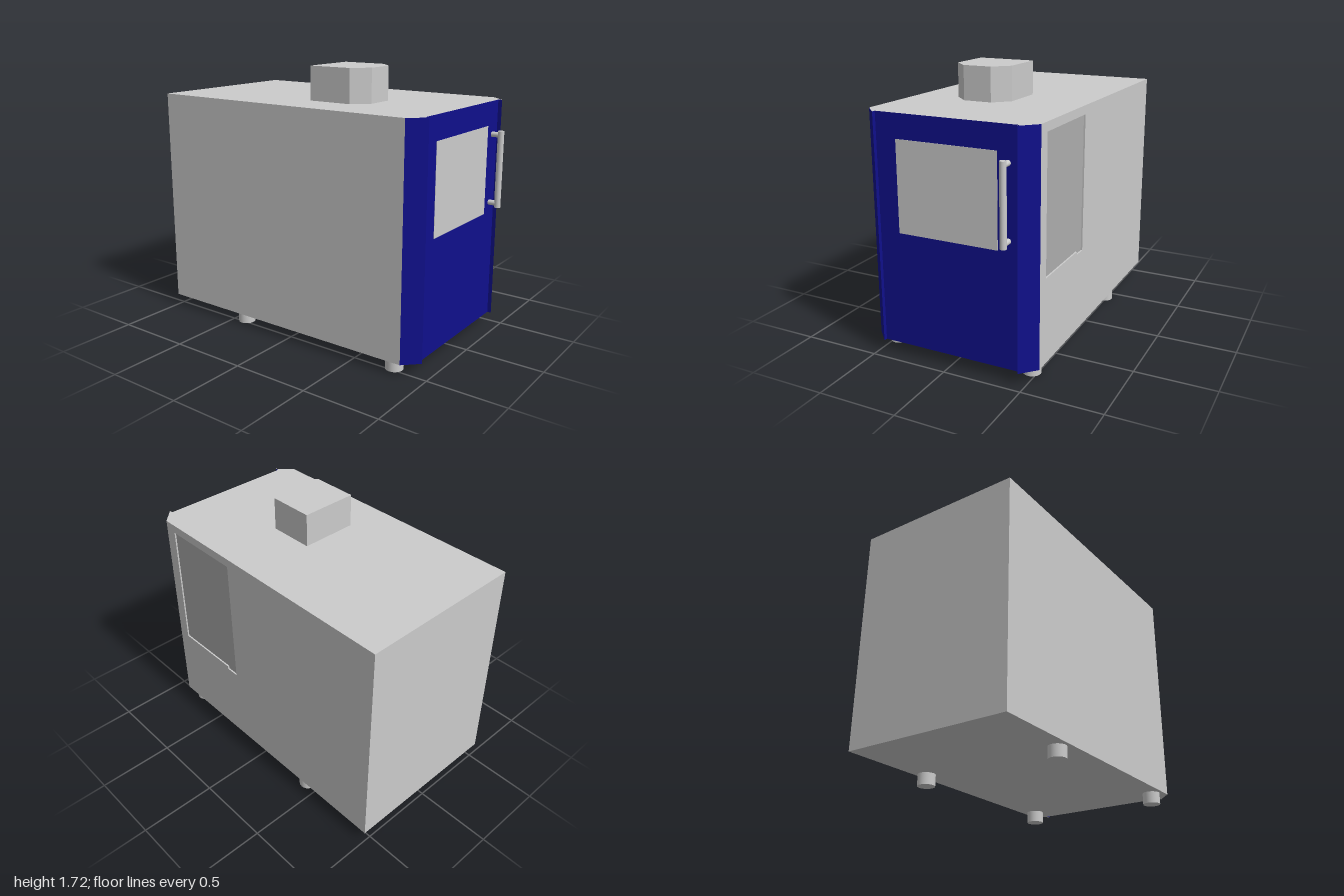
import * as THREE from 'three';

const grey = new THREE.MeshStandardMaterial({ color: 0xcccccc });
const blue = new THREE.MeshStandardMaterial({ color: 0x10108c });
const dark = new THREE.MeshStandardMaterial({ color: 0xaeaeae });

const BOTTOM = 0.075, TOP = 1.505, HALF = 0.55, BACK = -1, FRONT = 0.85;
const RECESS = 0.012;

const shapeOf = (points) => new THREE.Shape(points.map(([x, y]) => new THREE.Vector2(x, y)));

export function createModel() {
  const model = new THREE.Group();

  const add = (name, geometry, material, x = 0, y = 0, z = 0) => {
    const mesh = new THREE.Mesh(geometry, material);
    mesh.name = name;
    mesh.position.set(x, y, z);
    model.add(mesh);
    return mesh;
  };

  // Box given by its limits on each axis
  const box = (name, material, [x0, x1], [y0, y1], [z0, z1]) =>
    add(name, new THREE.BoxGeometry(x1 - x0, y1 - y0, z1 - z0), material,
      (x0 + x1) / 2, (y0 + y1) / 2, (z0 + z1) / 2);

  // Upright prism from a plan of [x, z] points; materials are [caps, sides]
  const prism = (name, plan, y0, y1, materials) => {
    const geometry = new THREE.ExtrudeGeometry(
      shapeOf(plan.map(([x, z]) => [x, -z])), { depth: y1 - y0, bevelEnabled: false });
    geometry.rotateX(-Math.PI / 2);
    return add(name, geometry, materials, 0, y0, 0);
  };

  // Cabinet, with a thin outer plate on the left carrying the panel recess
  box('cabinet', grey, [-HALF, HALF - RECESS], [BOTTOM, TOP], [BACK, FRONT]);
  const panel = [[-0.77, 0.61], [-0.31, 0.61], [-0.31, 0.59], [-0.22, 0.59], [-0.22, 1.45], [-0.77, 1.45]];
  const plate = shapeOf([[-FRONT, BOTTOM], [-BACK, BOTTOM], [-BACK, TOP], [-FRONT, TOP]]);
  plate.holes.push(new THREE.Path(shapeOf(panel).getPoints()));
  const plateGeometry = new THREE.ExtrudeGeometry(plate, { depth: RECESS, bevelEnabled: false });
  add('sidePlate', plateGeometry.rotateY(Math.PI / 2), grey, HALF - RECESS);
  const panelGeometry = new THREE.ShapeGeometry(shapeOf(panel));
  add('sidePanel', panelGeometry.rotateY(Math.PI / 2), dark, HALF - RECESS + 0.002);

  // Front: drawer, door and window
  const faces = [blue, blue, grey, grey, blue, blue];
  box('drawer', faces, [-0.46, 0.46], [BOTTOM, 0.425], [FRONT, 0.92]);
  box('door', faces, [-0.46, 0.46], [0.425, TOP], [FRONT, 0.92]);
  box('window', grey, [-0.325, 0.325], [0.79, 1.355], [0.9, 0.922]);

  // Slanted corner posts standing slightly proud of the door
  for (const s of [-1, 1]) {
    const plan = [[s * HALF, FRONT], [s * 0.458, FRONT], [s * 0.458, 0.945]];
    prism(s > 0 ? 'leftPost' : 'rightPost', plan, BOTTOM, TOP, [grey, blue]);
  }

  // Door handle on two short stems
  add('handle', new THREE.CylinderGeometry(0.02, 0.02, 0.49, 24), grey, 0.39, 1.075, 0.98);
  for (const y of [0.855, 1.295]) {
    const stem = add('handleStem', new THREE.CylinderGeometry(0.017, 0.017, 0.07, 16), grey, 0.39, y, 0.945);
    stem.rotation.x = Math.PI / 2;
  }

  // Flue housing on the roof
  prism('flueHousing',
    [[-0.275, 0], [0.1, 0], [0.1, 0.295], [0.005, 0.39], [-0.18, 0.39], [-0.275, 0.295]],
    TOP, 1.72, [grey, grey]);

  // Feet
  for (const [x, z] of [[-0.47, 0.765], [0.465, 0.765], [-0.47, -0.41], [0.485, -0.41]]) {
    add('foot', new THREE.CylinderGeometry(0.056, 0.056, BOTTOM, 28), grey, x, BOTTOM / 2, z);
  }

  return model;
}
